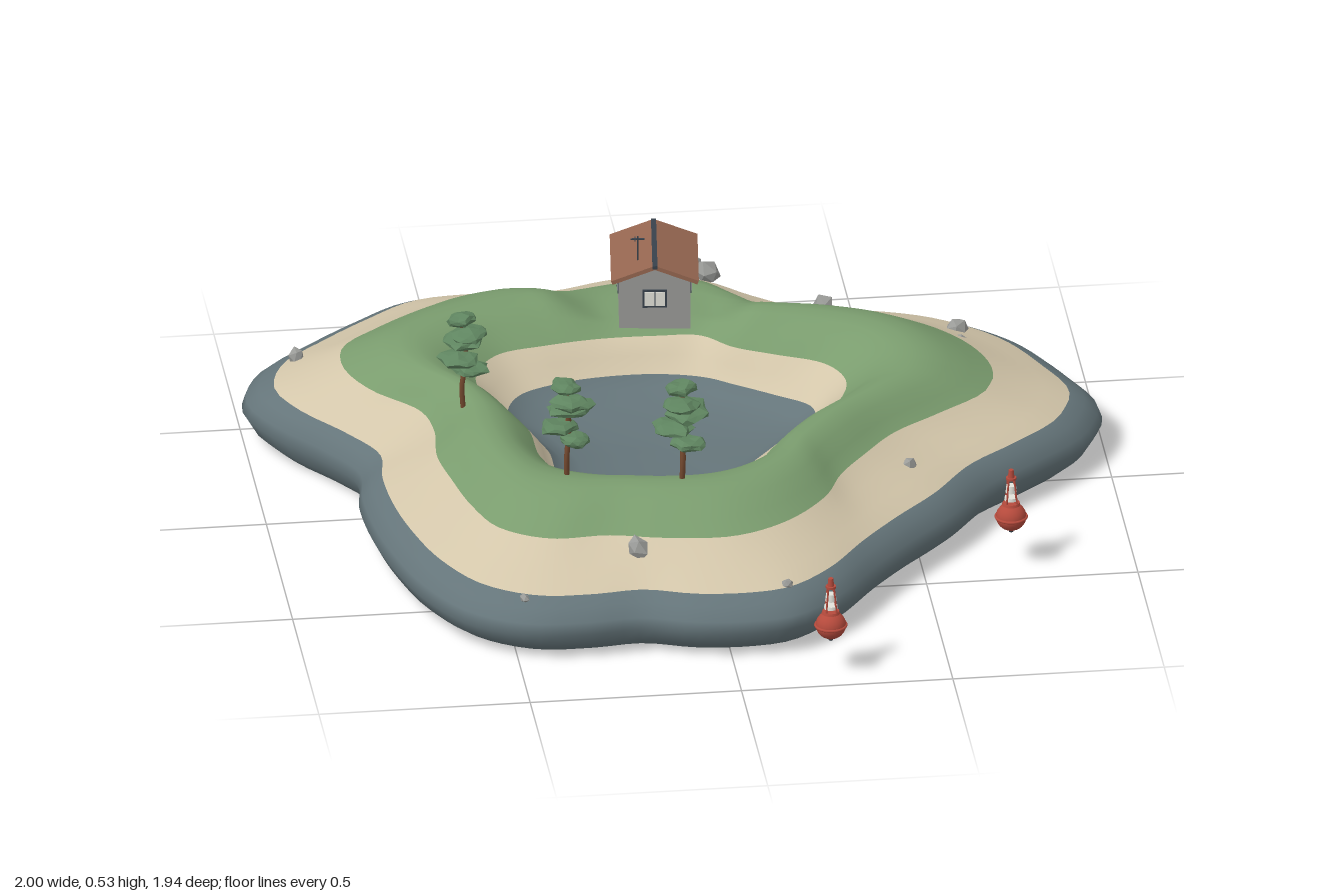
import * as THREE from 'three';

const mat = (name, color, extra = {}) => new THREE.MeshStandardMaterial({ name, color, ...extra });

// Contours of the island as [x, z] points, running once around the lake
const CX = -0.04, CZ = -0.10;
const SHORE = [[.03, -.97], [.16, -.92], [.27, -.82], [.40, -.73], [.56, -.70], [.71, -.64], [.86, -.51], [.95, -.34], [1, -.19], [.95, -.04],
  [.83, .08], [.70, .19], [.59, .34], [.48, .46], [.38, .58], [.27, .73], [.16, .82], [.06, .84], [-.08, .83], [-.21, .79], [-.34, .80], [-.48, .79],
  [-.61, .71], [-.70, .56], [-.75, .40], [-.78, .24], [-.79, .08], [-.78, -.05], [-.85, -.18], [-.95, -.32], [-1, -.45], [-.96, -.59], [-.85, -.70],
  [-.72, -.81], [-.59, -.90], [-.45, -.92], [-.24, -.91], [-.10, -.95]];
const GRASS = [[.01, -.76], [.11, -.73], [.19, -.64], [.27, -.55], [.43, -.52], [.59, -.45], [.70, -.32], [.74, -.18], [.71, -.07], [.59, .03],
  [.47, .12], [.39, .22], [.32, .32], [.27, .43], [.16, .55], [.03, .61], [-.13, .60], [-.26, .57], [-.40, .57], [-.51, .50], [-.56, .38], [-.59, .24],
  [-.61, .11], [-.60, -.02], [-.62, -.13], [-.72, -.25], [-.77, -.37], [-.76, -.48], [-.67, -.57], [-.53, -.67], [-.42, -.72], [-.26, -.70], [-.10, -.73]];
const BEACH = [[-.02, -.45], [-.16, -.45], [-.29, -.43], [-.40, -.40], [-.46, -.32], [-.47, -.24], [-.43, -.13], [-.38, 0], [-.37, .14], [-.33, .23],
  [-.24, .28], [-.13, .31], [.03, .30], [.13, .24], [.18, .16], [.24, .08], [.32, 0], [.38, -.10], [.39, -.18], [.35, -.26], [.24, -.32], [.15, -.37], [.08, -.44]];
const LAKE = [[-.03, -.39], [-.16, -.39], [-.26, -.37], [-.36, -.32], [-.40, -.23], [-.37, -.13], [-.33, -.02], [-.32, .11], [-.26, .20], [-.13, .23],
  [-.02, .23], [.08, .17], [.15, .08], [.24, -.02], [.31, -.11], [.31, -.18], [.23, -.25], [.15, -.31], [.08, -.36]];
const SEG = 160;

// Radius of a smooth closed contour at SEG even angles around the lake centre
function radii(points) {
  const curve = new THREE.CatmullRomCurve3(points.map(([x, z]) => new THREE.Vector3(x - CX, 0, z - CZ)), true);
  const polar = curve.getPoints(600).map(p => [(Math.atan2(p.z, p.x) + Math.PI * 2) % (Math.PI * 2), Math.hypot(p.x, p.z)]);
  polar.sort((a, b) => a[0] - b[0]);
  return Array.from({ length: SEG }, (_, j) => {
    const a = j / SEG * Math.PI * 2;
    let i = polar.findIndex(p => p[0] >= a);
    if (i < 1) return polar[i < 0 ? polar.length - 1 : 0][1];
    const [p, q] = [polar[i - 1], polar[i]];
    return THREE.MathUtils.lerp(p[1], q[1], (a - p[0]) / (q[0] - p[0] || 1));
  });
}

function buildIsland(materials) {
  const S = radii(SHORE), G = radii(GRASS), B = radii(BEACH), L = radii(LAKE);
  const mix = THREE.MathUtils.lerp;
  const rings = []; // each: radius rule, height, material index of the band that ends here
  const add = (r, y, m) => rings.push({ r, y, m });
  [[0, 0], [.5, 0], [.9, 0], [.94, .006], [.975, .03], [1, .068], [.99, .095], [.96, .122], [.925, .14]].forEach(([k, y]) => add(j => S[j] * k, y, 0));
  [[.33, .160], [.66, .184], [1, .21]].forEach(([t, y]) => add(j => mix(S[j] * .925, G[j], t), y, 1));
  [[.15, .237], [.3, .262], [.43, .277], [.55, .28], [.68, .274], [.82, .253], [1, .21]].forEach(([t, y]) => add(j => mix(G[j], B[j], t), y, 2));
  [[.5, .175], [1, .14]].forEach(([t, y]) => add(j => mix(B[j], L[j], t), y, 1));
  [[.9, .118], [.75, .1], [.4, .09], [0, .088]].forEach(([k, y]) => add(j => L[j] * k, y, 0));

  const pos = [], index = [], geo = new THREE.BufferGeometry();
  rings.forEach(({ r, y }, k) => {
    for (let j = 0; j < SEG; j++) {
      const a = j / SEG * Math.PI * 2, x = CX + r(j) * Math.cos(a), z = CZ + r(j) * Math.sin(a);
      // level the ridge into a pad under the hut
      const pad = 1 - THREE.MathUtils.smoothstep(Math.hypot(x + .01, z + .58), .12, .28);
      pos.push(x, y > .222 ? mix(y, .222, pad) : y, z);
    }
    if (k === 0) return;
    const start = index.length;
    for (let j = 0; j < SEG; j++) {
      const a = (k - 1) * SEG + j, b = (k - 1) * SEG + (j + 1) % SEG;
      index.push(a, a + SEG, b, b, a + SEG, b + SEG);
    }
    geo.addGroup(start, index.length - start, rings[k].m);
  });
  geo.setAttribute('position', new THREE.Float32BufferAttribute(pos, 3));
  geo.setIndex(index);
  geo.computeVertexNormals();
  const mesh = new THREE.Mesh(geo, materials);
  mesh.name = 'island';
  return mesh;
}

export function createModel() {
  const rock = mat('slate rock', 0x65757a), sand = mat('sand', 0xd3c6aa), grass = mat('grass', 0x7a9c6e);
  const stone = mat('grey stone', 0x9a9b98, { flatShading: true }), roofMat = mat('roof brown', 0x956650);
  const dark = mat('dark trim', 0x38424c), white = mat('white paint', 0xe2e2da), red = mat('buoy red', 0xb54a3c);
  const leaf = mat('foliage', 0x5f8560, { flatShading: true }), bark = mat('bark', 0x74492f);
  let seed = 7;
  const rand = () => (seed = (seed * 16807) % 2147483647) / 2147483647;

  const model = new THREE.Group();
  model.name = 'islandScene';
  const put = (parent, name, geo, material, x = 0, y = 0, z = 0) => {
    const mesh = new THREE.Mesh(geo, material);
    mesh.name = name;
    mesh.position.set(x, y, z);
    parent.add(mesh);
    return mesh;
  };
  const group = (name, x, y, z) => {
    const g = new THREE.Group();
    g.name = name;
    g.position.set(x, y, z);
    model.add(g);
    return g;
  };
  const box = (w, h, d) => new THREE.BoxGeometry(w, h, d);
  // Rough lump: every corner of an icosahedron moved in or out by position
  const lump = (detail, rough) => {
    const geo = new THREE.IcosahedronGeometry(1, detail), p = geo.attributes.position, s = rand() * 20, v = new THREE.Vector3();
    for (let i = 0; i < p.count; i++) {
      v.fromBufferAttribute(p, i);
      v.multiplyScalar(1 + rough * Math.sin(v.x * 5 + s) * Math.cos(v.z * 5 + s * 2 + v.y));
      p.setXYZ(i, v.x, v.y, v.z);
    }
    geo.computeVertexNormals();
    return geo;
  };

  model.add(buildIsland([rock, sand, grass]));

  // Hut: gabled walls, two roof slabs, ridge cap, door, windows and aerial
  const hut = group('hut', -.01, .2, -.582);
  hut.rotation.y = -.11;
  const gable = new THREE.Shape([[-.084, 0], [.084, 0], [.084, .143], [0, .176], [-.084, .143]].map(p => new THREE.Vector2(...p)));
  put(hut, 'walls', new THREE.ExtrudeGeometry(gable, { depth: .212, bevelEnabled: false }), stone, 0, 0, -.106);
  for (const s of [-1, 1]) {
    put(hut, 'roofSlab', box(.11, .01, .246), roofMat, s * .05, .164, 0).rotation.z = -s * .37;
    const side = group('sideWindow', 0, 0, 0);
    hut.add(side);
    side.rotation.y = s * Math.PI / 2;
    addWindow(side, .085, -s * .005);
    put(hut, 'cornerPost', box(.008, .14, .008), dark, s * .083, .07, -.105);
  }
  put(hut, 'ridgeCap', box(.012, .008, .25), dark, 0, .185, 0);
  const front = new THREE.Group();
  front.name = 'frontWindow';
  hut.add(front);
  addWindow(front, .107, 0);
  put(hut, 'door', box(.042, .088, .006), dark, .02, .062, -.107);
  put(hut, 'doorStep', box(.06, .022, .035), stone, .01, .014, -.122);
  put(hut, 'aerialMast', new THREE.CylinderGeometry(.002, .002, .07, 6), dark, -.04, .2, .06);
  put(hut, 'aerialArm', box(.032, .003, .003), dark, -.04, .228, .06);
  put(hut, 'aerialArm', box(.003, .003, .02), dark, -.046, .228, .06);

  function addWindow(parent, z, x) {
    put(parent, 'windowFrame', box(.058, .046, .004), dark, x, .095, z);
    for (const s of [-1, 1]) put(parent, 'windowPane', box(.023, .036, .006), white, x + s * .0125, .095, z);
  }

  // Trees: a bent trunk under flat tiers of foliage
  [[-.53, -.03, 0.96], [-.335, .37, 1], [-.07, .425, 1.03]].forEach(([x, z, k], n) => {
    const tree = group('tree', x, .255, z);
    tree.scale.setScalar(k);
    tree.rotation.y = n * .6;
    const path = new THREE.CatmullRomCurve3([[0, 0, 0], [-.004, .07, .004], [.006, .14, 0], [-.004, .24, .002]].map(p => new THREE.Vector3(...p)));
    put(tree, 'trunk', new THREE.TubeGeometry(path, 10, .0065, 7), bark);
    [[.115, .043], [.15, .05], [.185, .058], [.217, .046], [.25, .038]].forEach(([y, r], i) => {
      const a = i * 2.4 + n, off = i === 4 ? .004 : .02;
      const pad = put(tree, 'foliageTier', lump(1, .2), leaf, Math.cos(a) * off, y, Math.sin(a) * off);
      pad.scale.set(r, .0155, r * .85);
      pad.rotation.set((rand() - .5) * .2, a, (rand() - .5) * .2);
      if (i < 4) {
        const b = put(tree, 'branch', new THREE.CylinderGeometry(.0025, .0035, .04, 5), bark, Math.cos(a) * off * .6, y - .012, Math.sin(a) * off * .6);
        b.rotation.set(Math.sin(a) * .8, 0, -Math.cos(a) * .8);
      }
    });
  });

  // Buoys: round float, tapered lattice tower and lantern
  [[.71, .42], [.22, .93]].forEach(([x, z]) => {
    const buoy = group('buoy', x, .125, z);
    put(buoy, 'float', new THREE.SphereGeometry(.036, 20, 14), red).scale.y = .95;
    put(buoy, 'floatRim', new THREE.TorusGeometry(.036, .0035, 8, 24), red).rotation.x = Math.PI / 2;
    put(buoy, 'keel', new THREE.CylinderGeometry(.008, .005, .01, 10), dark, 0, -.035, 0);
    put(buoy, 'deck', new THREE.CylinderGeometry(.02, .022, .006, 14), red, 0, .034, 0);
    for (let i = 0; i < 4; i++) {
      const leg = new THREE.LineCurve3(new THREE.Vector3(.017, .035, 0), new THREE.Vector3(.009, .1, 0));
      put(buoy, 'towerLeg', new THREE.TubeGeometry(leg, 1, .0024, 6), red).rotation.y = Math.PI / 4 + i * Math.PI / 2;
    }
    put(buoy, 'whiteBand', new THREE.CylinderGeometry(.0115, .0135, .018, 12), white, 0, .073, 0);
    put(buoy, 'lowerBand', new THREE.CylinderGeometry(.0155, .0165, .008, 12), white, 0, .048, 0);
    put(buoy, 'topPlate', new THREE.CylinderGeometry(.0125, .0125, .005, 12), red, 0, .1, 0);
    put(buoy, 'lantern', new THREE.CylinderGeometry(.006, .008, .02, 10), red, 0, .112, 0);
  });

  // Boulders on the beach: x, y, z, radius
  [[-.86, .157, -.55, .022], [.055, .15, -.89, .025], [.12, .148, -.92, .026], [.15, .155, -.87, .032], [.395, .18, -.605, .03], [.69, .175, -.47, .029],
    [.69, .188, -.39, .017], [.495, .17, .215, .02], [-.2, .195, .62, .029], [-.48, .143, .74, .014], [.14, .143, .745, .014]].forEach(([x, y, z, r]) => {
    const b = put(model, 'boulder', lump(0, .25), stone, x, y, z);
    b.scale.set(r * 1.1, r * .85, r * .9);
    b.rotation.set(rand(), rand() * 6, rand());
  });
  return model;
}
